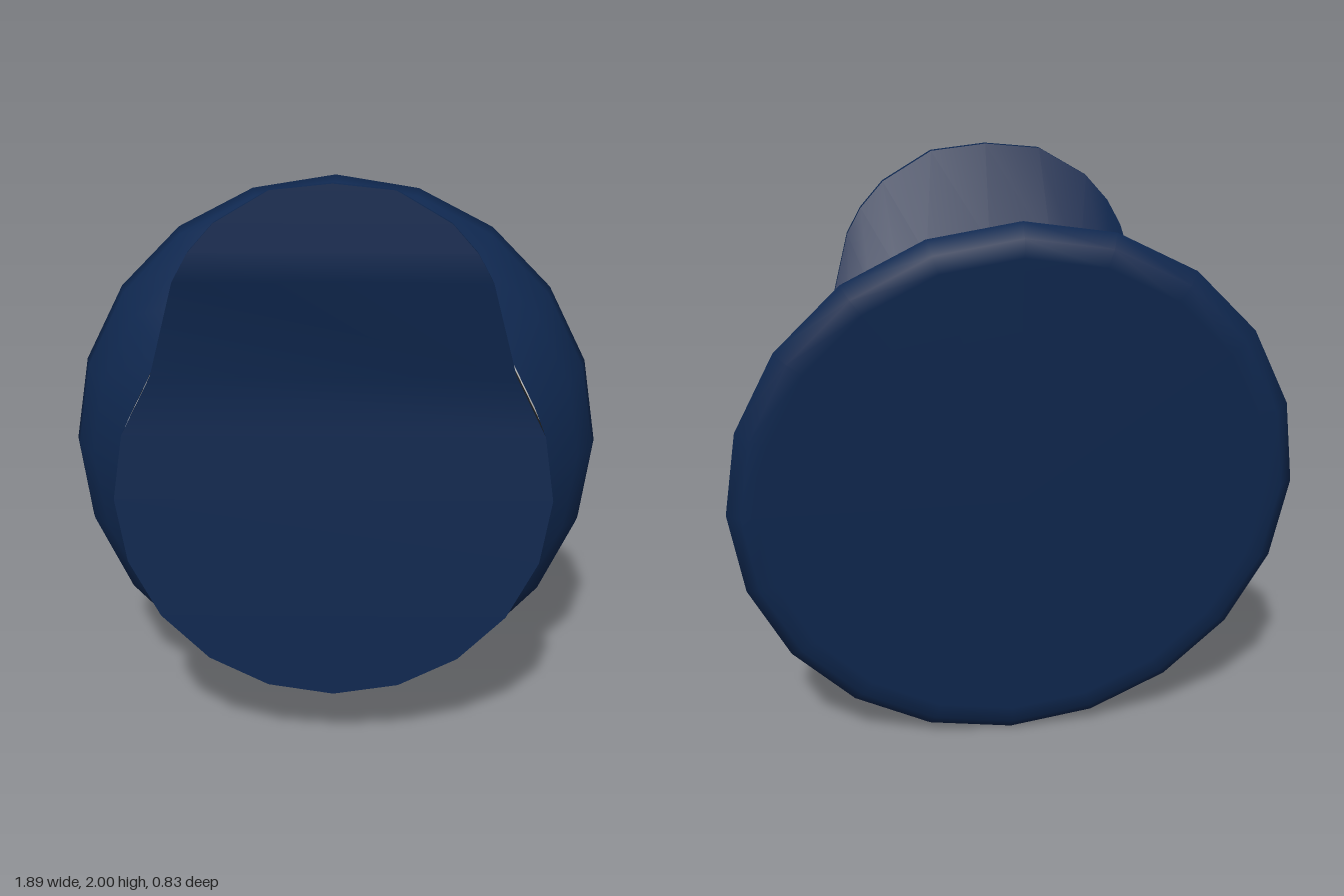
import * as THREE from 'three';

const SIDES = 20, CY = 0.95, BAND_R = 0.72;

// Skin rows of points; closed rows wrap round
function loft(rows, closed) {
  const n = rows[0].length, index = [];
  for (let k = 0; k < rows.length - 1; k++) {
    for (let i = 0; i < (closed ? n : n - 1); i++) {
      const j = (i + 1) % n;
      const a = k * n + i, b = k * n + j, c = a + n, d = b + n;
      index.push(a, b, c, b, d, c);
    }
  }
  const g = new THREE.BufferGeometry();
  g.setAttribute('position', new THREE.Float32BufferAttribute(rows.flat(2), 3));
  g.setIndex(index);
  g.computeVertexNormals();
  return g;
}

// Point on the polygon rim; t counts sides clockwise from the top
function rim(r, t) {
  const at = (s) => {
    const a = (s / SIDES) * Math.PI * 2;
    return [r * Math.sin(a), CY + r * Math.cos(a)];
  };
  const lo = Math.floor(t), f = t - lo, p = at(lo), q = at(lo + 1);
  return [p[0] + (q[0] - p[0]) * f, p[1] + (q[1] - p[1]) * f];
}

export function createModel() {
  const navy = new THREE.MeshStandardMaterial({ color: 0x0f2850 });
  const white = new THREE.MeshStandardMaterial({ color: 0xf0f0f0 });
  const black = new THREE.MeshStandardMaterial({ color: 0x262626 });
  navy.name = 'navy cloth';
  white.name = 'white check';
  black.name = 'black check';

  const group = new THREE.Group();
  group.name = 'cap';
  const add = (name, geometry, material) => {
    const mesh = new THREE.Mesh(geometry, material);
    mesh.name = name;
    group.add(mesh);
  };

  // Flared crown: radius, z at the middle, backward lean
  const crownRings = [
    [0.72, 0.03, 0], [0.86, -0.09, 0.058], [0.93, -0.215, 0.102], [0.947, -0.275, 0.11],
    [0.90, -0.313, 0.11], [0.84, -0.316, 0.11], [0, -0.316, 0.11],
  ].map(([r, z, lean]) => Array.from({ length: SIDES }, (_, i) => {
    const [x, y] = rim(r, i);
    return [x, y, z - lean * (y - CY)];
  }));
  add('crown', loft(crownRings, true), navy);

  // Two rows of alternating checks round the band
  for (let row = 0; row < 2; row++) {
    const g = new THREE.CylinderGeometry(BAND_R, BAND_R, 0.135, SIDES, 1, true);
    g.rotateX(Math.PI / 2).translate(0, CY, 0.0975 + row * 0.135);
    g.clearGroups();
    for (let i = 0; i < SIDES; i++) g.addGroup(i * 6, 6, (i + row) % 2);
    add(row ? 'frontCheckRow' : 'backCheckRow', g, [white, black]);
  }

  // Front outline, right half from peak tip to bottom: side position, x, y, z
  const half = [
    [0, 0, 2.0, 0.42], [1, 0.19, 1.98, 0.42], [1.5, 0.36, 1.88, 0.42],
    [2, 0.44, 1.79, 0.42], [2.5, 0.49, 1.70, 0.42],
  ];
  for (let t = 3; t <= 10; t++) half.push([t, ...rim(BAND_R, t), 0.33]);
  const mirrored = half.slice(1, -1).reverse().map(([t, x, y, z]) => [SIDES - t, -x, y, z]);
  const outline = [...half, ...mirrored];

  // Rim of the peak and the underside joining it to the band
  const front = outline.map(([, x, y, z]) => [x, y, z]);
  const back = outline.map(([, x, y, z]) => [x, y, z - 0.022]);
  const root = outline.map(([t]) => [...rim(BAND_R, t), 0.30]);
  add('peakEdge', loft([front, back], true), navy);
  add('peakUnderside', loft([back, root], true), navy);

  // Front face running up into the peak
  add('frontPanel', loft(half.map(([, x, y, z]) => [[x, y, z], [-x, y, z]]), false), navy);

  return group;
}
